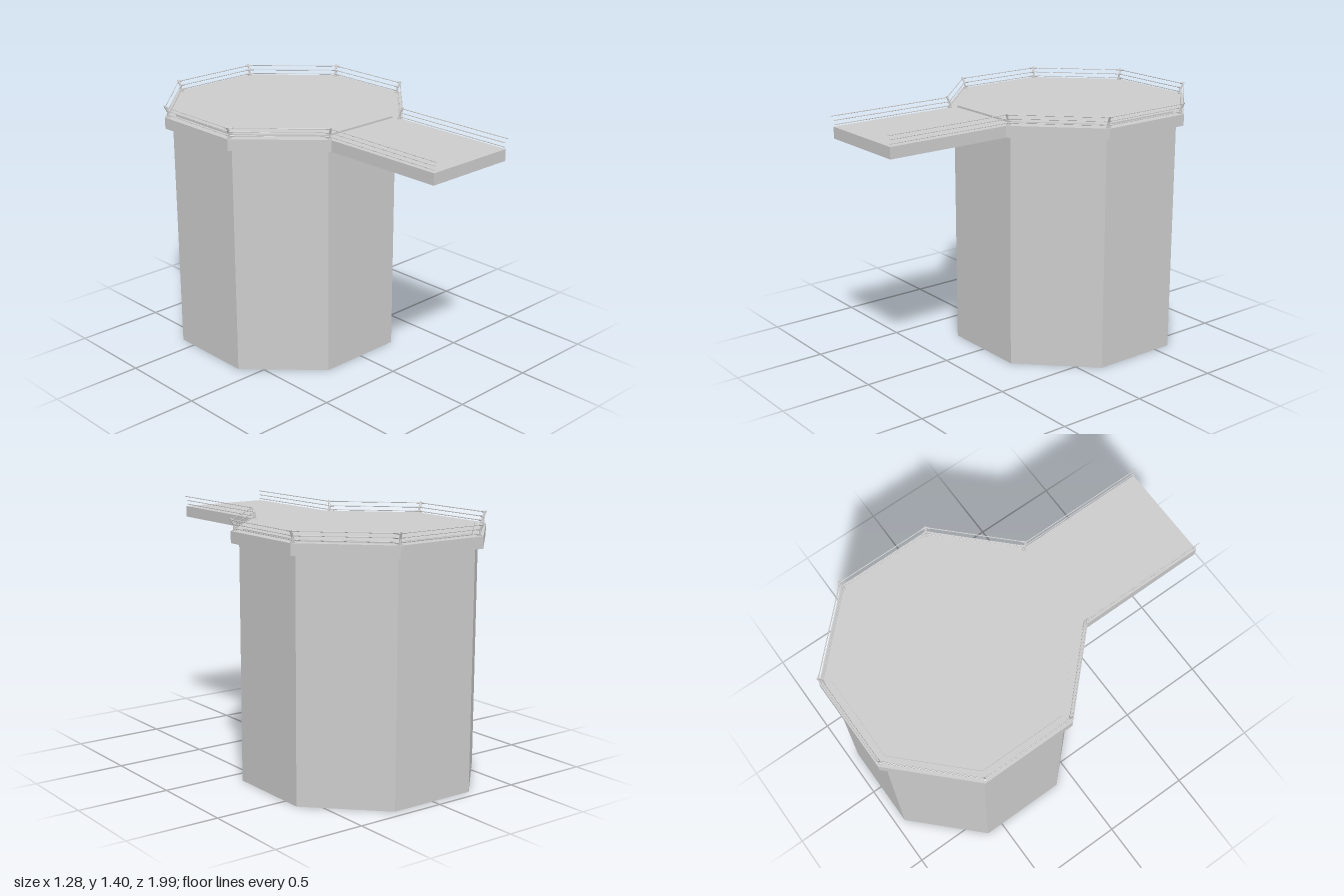
import * as THREE from 'three';

const CZ = -0.35;                       // centre of the octagon in z
const DECK_BOTTOM = 1.272, DECK_TOP = 1.334;
const T = Math.tan(Math.PI / 8);
const mat = new THREE.MeshStandardMaterial({ color: 0xcccccc, flatShading: true, side: THREE.DoubleSide });

// Eight corners [x, z] of an octagon with flat front, starting at front left, ending at front right
function corners(apothem) {
  const r = apothem / Math.cos(Math.PI / 8);
  return Array.from({ length: 8 }, (_, i) => {
    const a = Math.PI / 8 + i * Math.PI / 4;
    return [r * Math.sin(a), CZ + r * Math.cos(a)];
  });
}

function add(parent, name, geometry) {
  const mesh = new THREE.Mesh(geometry, mat);
  mesh.name = name;
  parent.add(mesh);
  return mesh;
}

// Octagonal prism between two heights, optionally without end caps
function prism(apothem, y0, y1, open = false) {
  const r = apothem / Math.cos(Math.PI / 8);
  return new THREE.CylinderGeometry(r, r, y1 - y0, 8, 1, open, Math.PI / 8)
    .translate(0, (y0 + y1) / 2, CZ);
}

// Thin round bar between two points
function bar(parent, name, a, b, radius, sides = 6) {
  const d = b.clone().sub(a);
  const mesh = add(parent, name, new THREE.CylinderGeometry(radius, radius, d.length(), sides));
  mesh.position.copy(a).add(b).multiplyScalar(0.5);
  mesh.quaternion.setFromUnitVectors(new THREE.Vector3(0, 1, 0), d.normalize());
}

export function createModel() {
  const model = new THREE.Group();
  model.name = 'platformTower';

  // Hollow column, octagonal deck and slightly raised floor
  add(model, 'column', prism(0.597, 0, DECK_BOTTOM, true));
  add(model, 'deck', prism(0.637, DECK_BOTTOM, DECK_TOP));
  add(model, 'floorPanel', prism(0.58, DECK_TOP, DECK_TOP + 0.01));

  // Walkway: top plate with side and end skirts, open underneath
  const halfW = 0.637 * T, z0 = CZ + 0.637, z1 = 0.987;
  const walkway = new THREE.Group();
  walkway.name = 'walkway';
  model.add(walkway);
  const h = DECK_TOP - DECK_BOTTOM, midY = (DECK_TOP + DECK_BOTTOM) / 2, midZ = (z0 + z1) / 2;
  add(walkway, 'walkwayTop', new THREE.PlaneGeometry(2 * halfW, z1 - z0).rotateX(-Math.PI / 2).translate(0, DECK_TOP, midZ));
  add(walkway, 'walkwayEnd', new THREE.PlaneGeometry(2 * halfW, h).translate(0, midY, z1));
  for (const s of [-1, 1]) {
    add(walkway, 'walkwaySide', new THREE.PlaneGeometry(z1 - z0, h).rotateY(s * Math.PI / 2).translate(s * halfW, midY, midZ));
  }

  // Railing posts: upright lower part, upper part leaning outwards
  const railing = new THREE.Group();
  railing.name = 'railing';
  model.add(railing);
  const ring = (apothem, y) => corners(apothem).map(([x, z]) => new THREE.Vector3(x, y, z));
  const foot = ring(0.618, DECK_TOP), knee = ring(0.62, 1.365), head = ring(0.636, 1.398);
  for (let i = 0; i < 8; i++) {
    bar(railing, 'postLower', foot[i], knee[i], 0.006);
    bar(railing, 'postUpper', knee[i], head[i], 0.006);
    const base = add(railing, 'postFoot', new THREE.CylinderGeometry(0.011, 0.011, 0.006, 8));
    base.position.copy(foot[i]).setY(DECK_TOP + 0.003);
  }

  // Three rails round the deck, with sleeves at the posts, carried on along the walkway
  for (const [apothem, y, end] of [[0.618, 1.346, 0.985], [0.621, 1.368, 0.985], [0.633, 1.391, 1.0]]) {
    const p = ring(apothem, y);
    const sleeve = (a, b) => bar(railing, 'sleeve', a, a.clone().add(b.clone().sub(a).setLength(0.025)), 0.0045);
    for (let i = 0; i < 7; i++) {
      bar(railing, 'deckRail', p[i], p[i + 1], 0.0025);
      sleeve(p[i], p[i + 1]);
      sleeve(p[i + 1], p[i]);
    }
    for (const q of [p[0], p[7]]) {
      bar(railing, 'walkwayRail', q, q.clone().setZ(end), 0.0025);
    }
  }
  return model;
}
